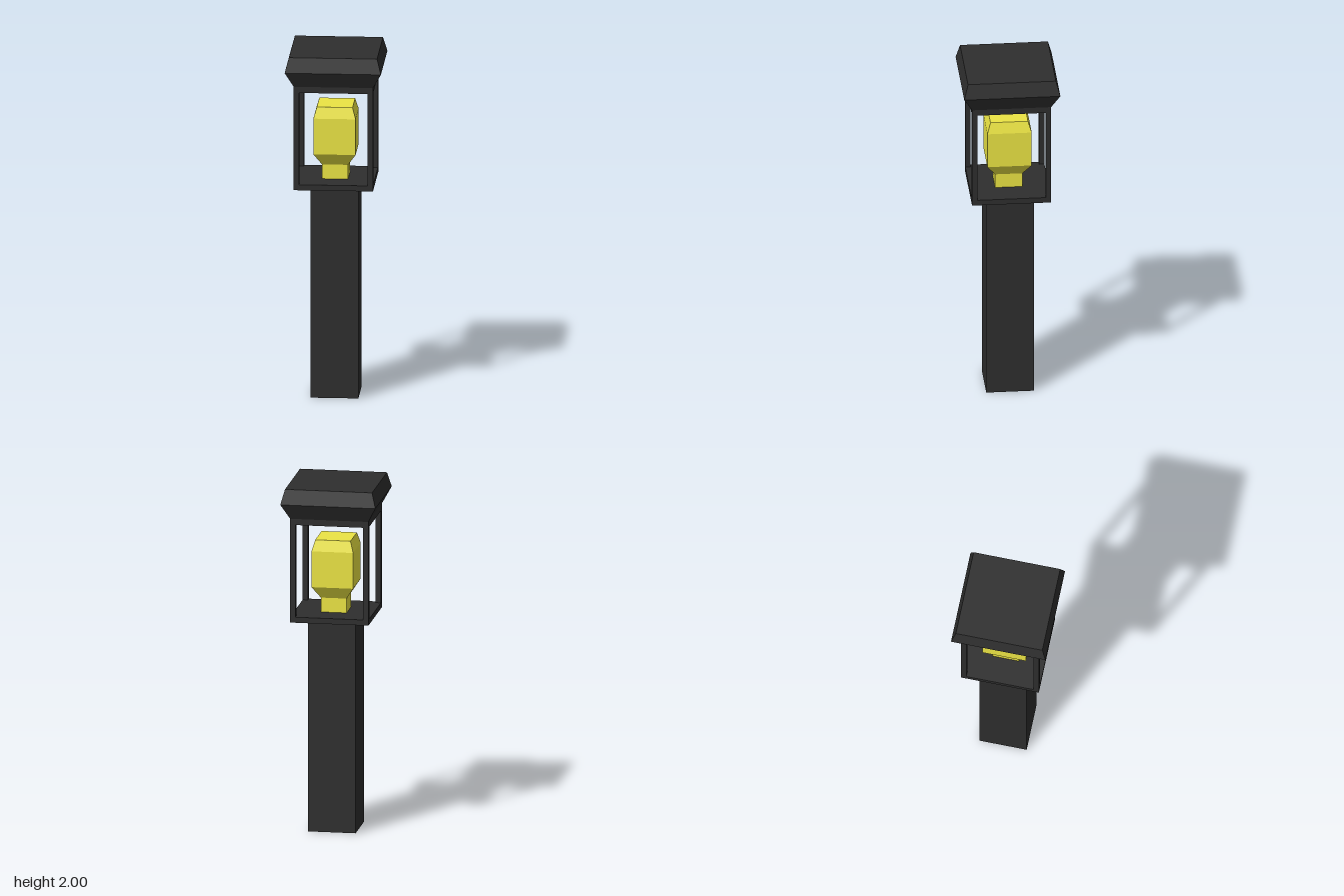
import * as THREE from 'three';

const dark = new THREE.MeshStandardMaterial({ color: 0x2e2e2e, flatShading: true });
const yellow = new THREE.MeshStandardMaterial({ color: 0xece544, flatShading: true });

function box(name, w, h, d, x, y, z) {
  const mesh = new THREE.Mesh(new THREE.BoxGeometry(w, h, d), dark);
  mesh.name = name;
  mesh.position.set(x, y, z);
  return mesh;
}

// Square-section solid from [half width, height] pairs, bottom to top, closed at both ends
function squareLoft(name, profile, material) {
  const points = profile.map(([half, y]) => new THREE.Vector2(half * Math.SQRT2, y));
  points.unshift(new THREE.Vector2(0, profile[0][1]));
  points.push(new THREE.Vector2(0, profile[profile.length - 1][1]));
  const mesh = new THREE.Mesh(new THREE.LatheGeometry(points, 4, Math.PI / 4), material);
  mesh.name = name;
  return mesh;
}

export function createModel() {
  const model = new THREE.Group();
  model.name = 'bollardLamp';

  // Column and lantern floor
  model.add(box('column', 0.27, 1.226, 0.27, 0, 0.613, 0));
  model.add(box('lanternFloor', 0.446, 0.032, 0.446, 0, 1.241, 0));

  // Four corner posts of the lantern
  const cage = new THREE.Group();
  cage.name = 'lanternPosts';
  for (const sx of [-1, 1]) {
    for (const sz of [-1, 1]) {
      cage.add(box('cornerPost', 0.03, 0.535, 0.03, sx * 0.208, 1.5245, sz * 0.208));
    }
  }
  model.add(cage);

  // Ceiling plate and flared cap
  model.add(box('lanternCeiling', 0.446, 0.036, 0.446, 0, 1.808, 0));
  model.add(squareLoft('cap', [[0.223, 1.825], [0.271, 1.915], [0.248, 2]], dark));

  // Faceted bulb with its neck
  const bulb = squareLoft('bulb',
    [[0.075, 1.257], [0.075, 1.34], [0.122, 1.41], [0.122, 1.617], [0.103, 1.68]], yellow);
  bulb.scale.set(0.975, 1, 1.025);
  bulb.position.z = 0.002;
  model.add(bulb);

  return model;
}
